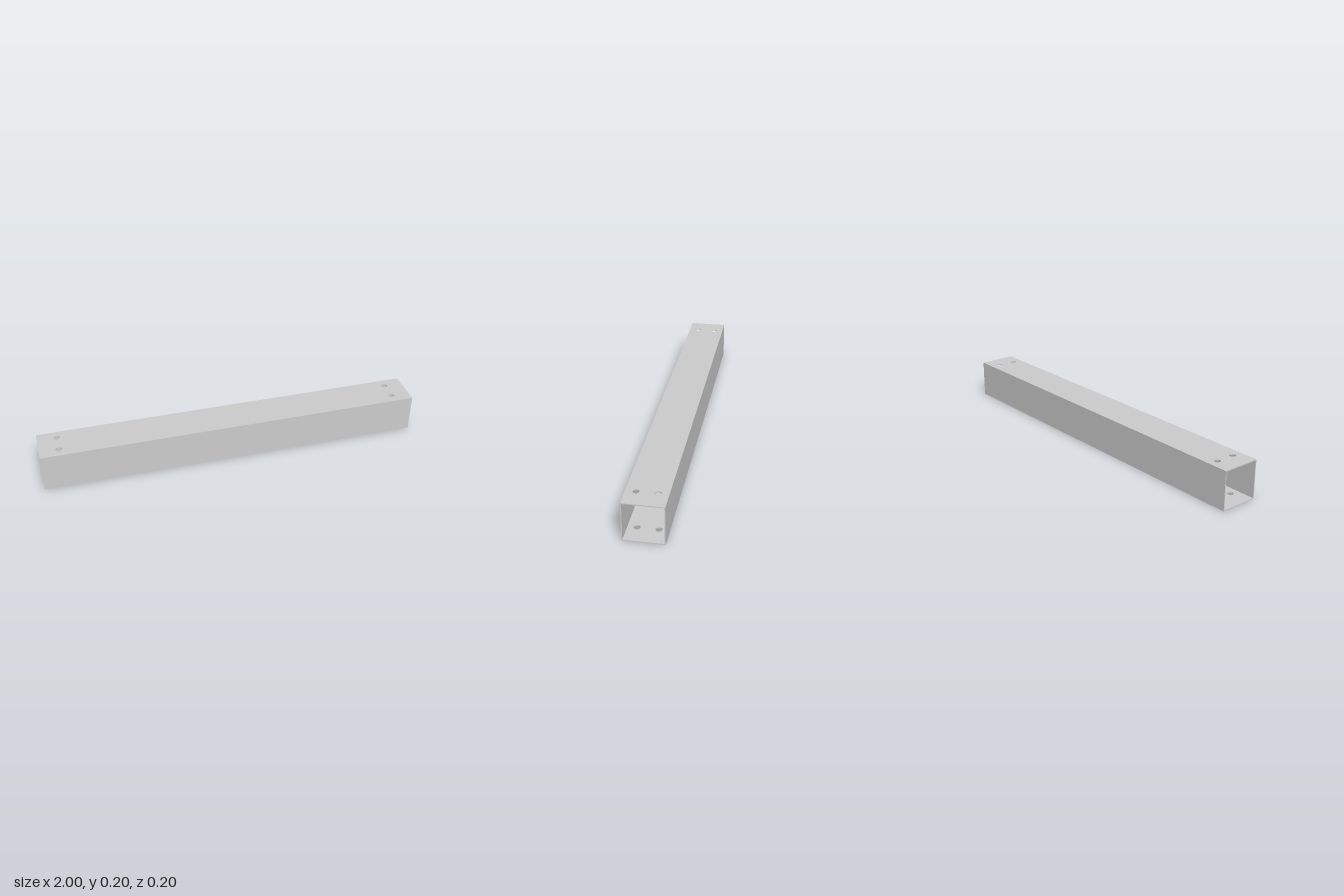
import * as THREE from 'three';

const LENGTH = 2, SIZE = 0.2, WALL = 0.005;
const HOLE_X = 0.9, HOLE_Z = 0.05, HOLE_R = 0.016;

// Flat plate lying in xz with four bolt holes, its underside at y = 0
function drilledPlate() {
  const l = LENGTH / 2, w = SIZE / 2;
  const shape = new THREE.Shape([
    new THREE.Vector2(-l, -w), new THREE.Vector2(l, -w),
    new THREE.Vector2(l, w), new THREE.Vector2(-l, w),
  ]);
  for (const sx of [-1, 1]) {
    for (const sz of [-1, 1]) {
      const hole = new THREE.Path();
      hole.absarc(sx * HOLE_X, sz * HOLE_Z, HOLE_R, 0, Math.PI * 2, true);
      shape.holes.push(hole);
    }
  }
  const geometry = new THREE.ExtrudeGeometry(shape, { depth: WALL, bevelEnabled: false, curveSegments: 24 });
  return geometry.rotateX(-Math.PI / 2);
}

export function createModel() {
  const group = new THREE.Group();
  group.name = 'squareTube';
  const material = new THREE.MeshStandardMaterial({ color: 0xcccccc });

  const add = (name, geometry, y, z) => {
    const mesh = new THREE.Mesh(geometry, material);
    mesh.name = name;
    mesh.position.set(0, y, z);
    group.add(mesh);
  };

  // Drilled top and bottom walls
  const plate = drilledPlate();
  add('bottomWall', plate, 0, 0);
  add('topWall', plate, SIZE - WALL, 0);

  // Plain front and back walls fitted between them
  const side = new THREE.BoxGeometry(LENGTH, SIZE - 2 * WALL, WALL);
  add('frontWall', side, SIZE / 2, (SIZE - WALL) / 2);
  add('backWall', side, SIZE / 2, -(SIZE - WALL) / 2);

  return group;
}
